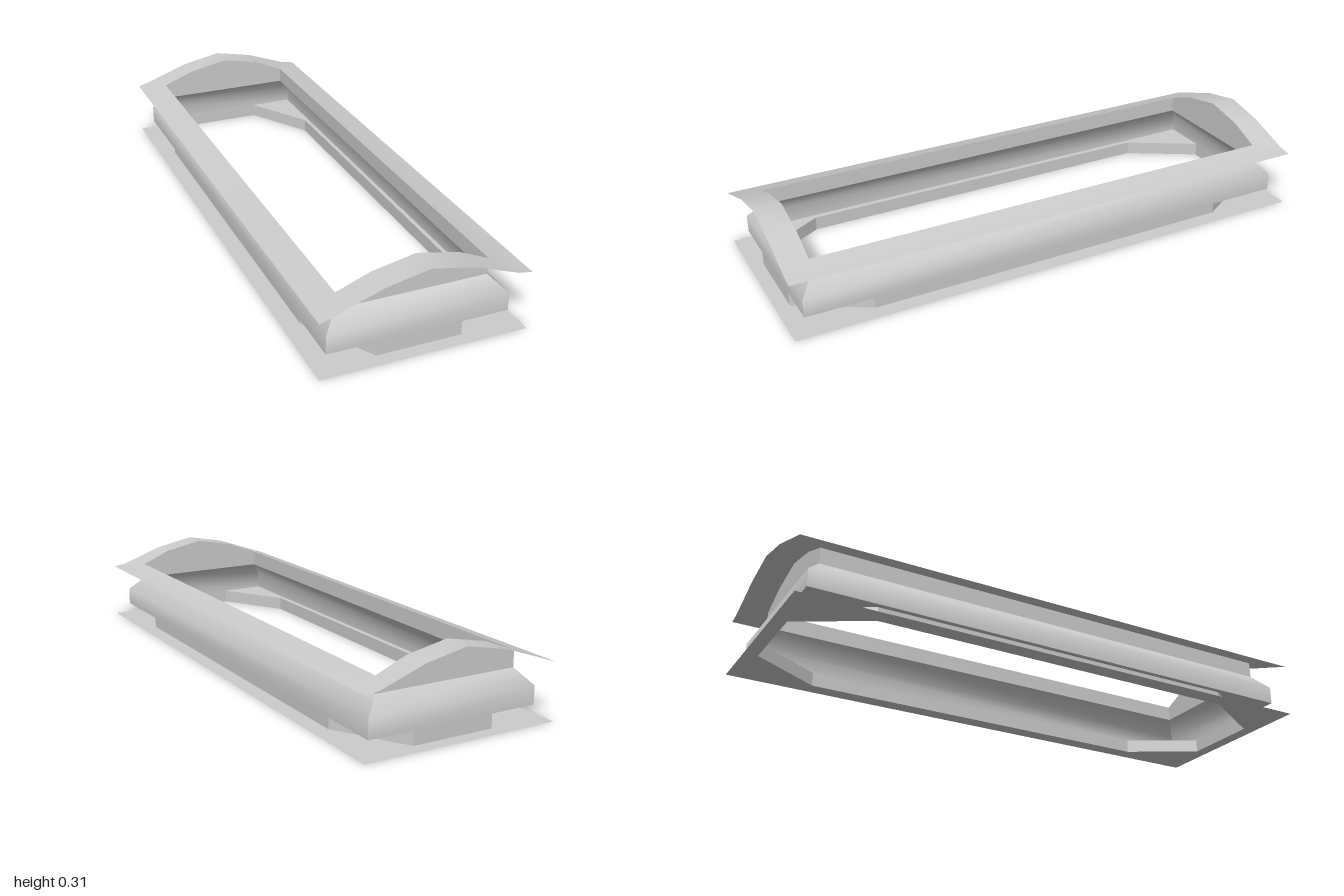
import * as THREE from 'three';
import { toCreasedNormals } from 'three/addons/utils/BufferGeometryUtils.js';

const material = new THREE.MeshStandardMaterial({ color: 0xcccccc, side: THREE.DoubleSide });

// Skin a stack of closed loops of [x, y, z], each counter-clockwise from above
function loft(name, loops, crease = 0.87) {
  const n = loops[0].length;
  const index = [];
  for (let k = 0; k < loops.length - 1; k++) {
    for (let i = 0; i < n; i++) {
      const j = (i + 1) % n;
      const a = k * n + i, b = k * n + j, c = a + n, d = b + n;
      index.push(a, b, d, a, d, c);
    }
  }
  const geometry = new THREE.BufferGeometry();
  geometry.setAttribute('position', new THREE.Float32BufferAttribute(loops.flat(2), 3));
  geometry.setIndex(index);
  const mesh = new THREE.Mesh(toCreasedNormals(geometry, crease), material);
  mesh.name = name;
  return mesh;
}

// Rectangle from x0 (left edge) to x1 (right edge)
const rect = (x0, x1, z, y) => [[x1, y, z], [x1, y, -z], [x0, y, -z], [x0, y, z]];
// Each corner twice, to pair with the eight points of the chamfered opening
const doubled = (loop) => loop.flatMap((p) => [p, p]);
const opening = (y) => [
  [0.15, y, 0.95], [0.3, y, 0.7], [0.3, y, -0.7], [0.15, y, -0.95],
  [-0.15, y, -0.95], [-0.3, y, -0.7], [-0.3, y, 0.7], [-0.15, y, 0.95],
];

export function createModel() {
  const group = new THREE.Group();
  group.name = 'frame';

  // Flat base sheet around the chamfered opening
  group.add(loft('basePlate', [doubled(rect(-0.363, 0.36, 1, 0)), opening(0)]));

  // Low skirt and the ledge above it
  group.add(loft('skirt', [opening(0), opening(0.05)], 0.3));
  group.add(loft('ledge', [opening(0.05), doubled(rect(-0.32, 0.316, 0.95, 0.05))]));

  // Main body with its sloping shoulder
  group.add(loft('body', [
    rect(-0.32, 0.316, 0.95, 0.05),
    rect(-0.32, 0.316, 0.95, 0.115),
    rect(-0.27, 0.26, 0.9, 0.17),
  ]));

  // Arched ends: profile points [x, y] from right to left
  const innerProfile = [[0.26, 0.228], [0.26, 0.228], [0.15, 0.275], [0, 0.305], [-0.15, 0.275], [-0.27, 0.229]];
  const outerProfile = [[0.36, 0.21], [0.31, 0.218], [0.15, 0.275], [0, 0.305], [-0.15, 0.275], [-0.363, 0.2]];
  const archLoop = (profile, z) => [
    ...profile.map(([x, y]) => [x, y, -z]),
    ...[...profile].reverse().map(([x, y]) => [x, y, z]),
  ];
  const eaves = archLoop(innerProfile, 0.9);

  // Upright walls with gabled ends, and the overhanging roof rim
  group.add(loft('upperWalls', [eaves.map(([x, , z]) => [x, 0.17, z]), eaves], 0.5));
  group.add(loft('roofRim', [archLoop(outerProfile, 1), eaves], 0.5));

  return group;
}
